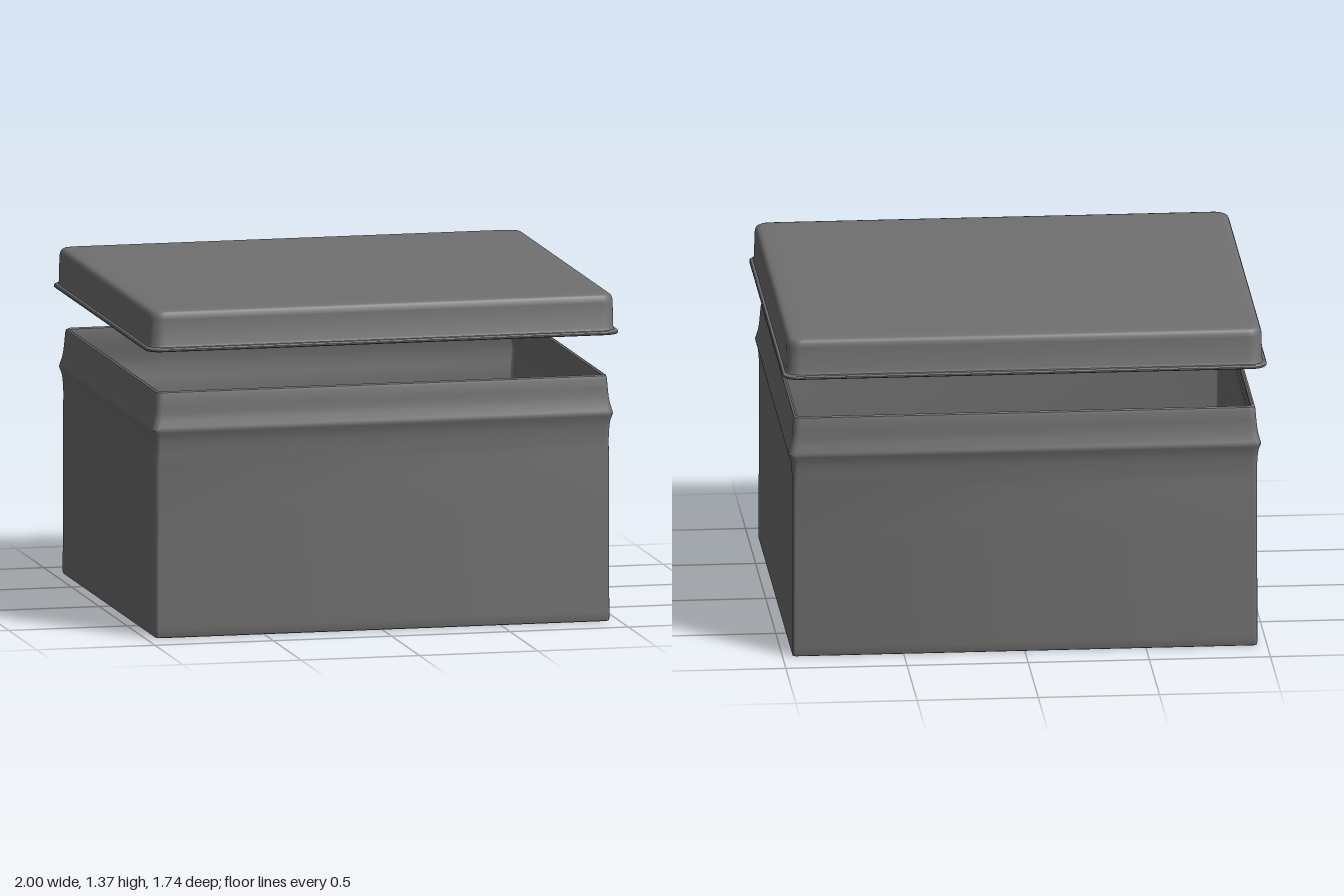
import * as THREE from 'three';
import { toCreasedNormals } from 'three/addons/utils/BufferGeometryUtils.js';

const CORNER_STEPS = 8;

// One rounded-rectangle ring, counterclockwise seen from above
function ring(hx, hz, y, r) {
  const pts = [];
  const corners = [[1, -1], [-1, -1], [-1, 1], [1, 1]];
  corners.forEach(([sx, sz], q) => {
    for (let i = 0; i <= CORNER_STEPS; i++) {
      const a = (q + i / CORNER_STEPS) * Math.PI / 2;
      pts.push(sx * (hx - r) + r * Math.cos(a), y, sz * (hz - r) - r * Math.sin(a));
    }
  });
  return pts;
}

// Shell swept through profile points [inset, y, cornerRadius]; both ends are closed flat
function shell(halfX, halfZ, profile) {
  const n = 4 * (CORNER_STEPS + 1);
  const rings = profile.map(([d, y, r]) => ring(halfX - d, halfZ - d, y, r));
  const pos = rings.flat();
  const index = [];
  for (let k = 0; k < rings.length - 1; k++) {
    for (let i = 0; i < n; i++) {
      const j = (i + 1) % n;
      const a = k * n + i, b = k * n + j, c = b + n, d = a + n;
      index.push(a, b, c, a, c, d);
    }
  }
  const first = pos.length / 3;
  const last = rings.length - 1;
  pos.push(0, profile[0][1], 0, 0, profile[last][1], 0);
  for (let i = 0; i < n; i++) {
    const j = (i + 1) % n;
    index.push(first, j, i, first + 1, last * n + i, last * n + j);
  }
  const geo = new THREE.BufferGeometry();
  geo.setAttribute('position', new THREE.Float32BufferAttribute(pos, 3));
  geo.setIndex(index);
  return toCreasedNormals(geo, 0.6);
}

export function createModel() {
  const model = new THREE.Group();
  const material = new THREE.MeshStandardMaterial({ color: 0x707070 });
  const add = (name, geo) => {
    const mesh = new THREE.Mesh(geo, material);
    mesh.name = name;
    model.add(mesh);
  };

  // Open box: outside wall with a ridge below the rim, then down the inside to the floor
  add('box', shell(0.96, 0.84, [
    [0.04, 0, 0.01], [0.008, 0, 0.01], [0.002, 0.003, 0.012], [0, 0.01, 0.014],
    [0, 0.04, 0.014], [0, 0.5, 0.016], [0.001, 0.72, 0.018], [0.001, 0.76, 0.02],
    [-0.002, 0.81, 0.024], [-0.006, 0.84, 0.026], [-0.013, 0.858, 0.028],
    [-0.015, 0.867, 0.028], [-0.012, 0.88, 0.028], [-0.005, 0.905, 0.028],
    [0, 0.935, 0.028], [0.003, 0.97, 0.028], [0.006, 1.01, 0.028],
    [0.009, 1.022, 0.028], [0.017, 1.027, 0.026], [0.025, 1.022, 0.024],
    [0.026, 1.01, 0.022], [0.022, 0.96, 0.022], [0.016, 0.915, 0.02],
    [0.008, 0.868, 0.02], [0.017, 0.81, 0.018], [0.02, 0.76, 0.014],
    [0.02, 0.05, 0.012], [0.02, 0.02, 0.01], [0.05, 0.02, 0.01],
  ]));

  // Hollow lid: ceiling, inside wall, flared lip, outside wall, rounded top edge
  add('lid', shell(1.0, 0.872, [
    [0.1, 1.345, 0.03], [0.055, 1.345, 0.045], [0.045, 1.34, 0.05],
    [0.04, 1.325, 0.05], [0.036, 1.225, 0.05], [0.03, 1.207, 0.05],
    [0.02, 1.2, 0.052], [0.004, 1.198, 0.06], [0, 1.202, 0.06], [0, 1.208, 0.06],
    [0.004, 1.213, 0.06], [0.014, 1.215, 0.058], [0.018, 1.225, 0.056],
    [0.02, 1.33, 0.056], [0.022, 1.345, 0.056], [0.027, 1.356, 0.054],
    [0.035, 1.362, 0.05], [0.05, 1.365, 0.045], [0.1, 1.366, 0.03],
  ]));

  return model;
}
